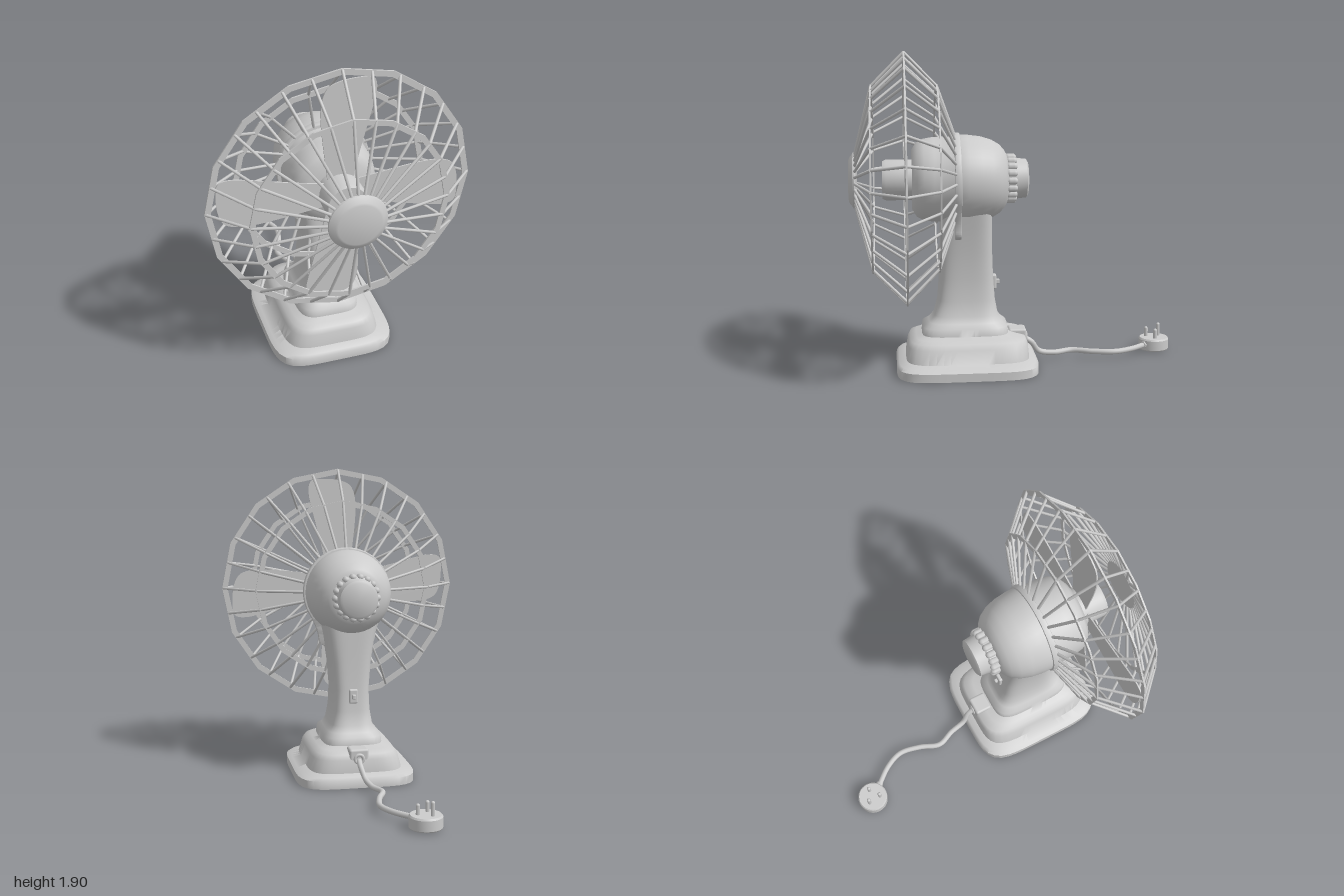
import * as THREE from 'three';
import { toCreasedNormals } from 'three/addons/utils/BufferGeometryUtils.js';
import { RoundedBoxGeometry } from 'three/addons/geometries/RoundedBoxGeometry.js';

const V = (x, y, z) => new THREE.Vector3(x, y, z);
const AXIS_Y = 1.145; // height of the motor axis
const grey = new THREE.MeshStandardMaterial({ color: 0xcccccc });
const flat = new THREE.MeshStandardMaterial({ color: 0xcccccc, flatShading: true });

function add(parent, name, geometry, x = 0, y = 0, z = 0, material = grey) {
  const mesh = new THREE.Mesh(geometry, material);
  mesh.name = name;
  mesh.position.set(x, y, z);
  parent.add(mesh);
  return mesh;
}

// Turned part along the z axis; profile is [radius, z] from back to front
function turned(profile, segments = 40, crease = 0.6) {
  const g = new THREE.LatheGeometry(profile.map(([r, z]) => new THREE.Vector2(r, z)), segments);
  return toCreasedNormals(g.rotateX(Math.PI / 2), crease);
}

function rod(parent, name, a, b, radius) {
  const dir = b.clone().sub(a);
  const mesh = add(parent, name, new THREE.CylinderGeometry(radius, radius, dir.length(), 6));
  mesh.position.copy(a).add(b).multiplyScalar(0.5);
  mesh.quaternion.setFromUnitVectors(V(0, 1, 0), dir.normalize());
}

// Loft of superellipse sections: [y, half width, half depth, centre z, exponent]
function loft(rows, n = 64) {
  const pos = [], idx = [];
  for (const [y, hx, hz, cz, e] of rows) {
    for (let i = 0; i < n; i++) {
      const t = (i / n) * Math.PI * 2, c = Math.cos(t), s = Math.sin(t);
      const k = (Math.abs(c) ** e + Math.abs(s) ** e) ** (-1 / e);
      pos.push(hx * c * k, y, cz + hz * s * k);
    }
  }
  for (let j = 0; j < rows.length - 1; j++) {
    for (let i = 0; i < n; i++) {
      const a = j * n + i, b = j * n + (i + 1) % n;
      idx.push(a, a + n, b, b, a + n, b + n);
    }
  }
  const centre = pos.length / 3;
  pos.push(0, rows[0][0], rows[0][3]);
  for (let i = 0; i < n; i++) idx.push(centre, i, (i + 1) % n);
  const g = new THREE.BufferGeometry();
  g.setAttribute('position', new THREE.Float32BufferAttribute(pos, 3));
  g.setIndex(idx);
  return toCreasedNormals(g, 1);
}

// Flat paddle blade pointing up, wider and squarer on its right side
function bladeGeometry() {
  const s = new THREE.Shape();
  s.moveTo(-0.07, 0.06);
  s.lineTo(0.07, 0.06);
  s.bezierCurveTo(0.1, 0.25, 0.15, 0.4, 0.19, 0.58);
  s.bezierCurveTo(0.2, 0.66, 0.19, 0.69, 0.14, 0.695);
  s.bezierCurveTo(0.04, 0.7, -0.06, 0.69, -0.09, 0.64);
  s.bezierCurveTo(-0.14, 0.55, -0.11, 0.4, -0.07, 0.06);
  return new THREE.ExtrudeGeometry(s, { depth: 0.008, bevelEnabled: false, curveSegments: 14 });
}

function buildStand(root) {
  add(root, 'baseAndNeck', loft([
    [0, 0.37, 0.425, 0.31, 5], [0.05, 0.37, 0.425, 0.31, 5], [0.065, 0.345, 0.41, 0.31, 5],
    [0.08, 0.295, 0.37, 0.308, 5], [0.16, 0.272, 0.36, 0.305, 5], [0.19, 0.25, 0.345, 0.305, 5],
    [0.205, 0.22, 0.3, 0.315, 5], [0.22, 0.188, 0.26, 0.32, 4.5], [0.265, 0.182, 0.255, 0.32, 4.5],
    [0.29, 0.155, 0.22, 0.317, 4], [0.33, 0.135, 0.192, 0.313, 4], [0.42, 0.12, 0.173, 0.31, 4],
    [0.55, 0.115, 0.163, 0.31, 4], [0.72, 0.13, 0.157, 0.31, 4], [0.88, 0.155, 0.155, 0.308, 4],
    [1.05, 0.19, 0.15, 0.305, 4],
  ]));
  const sw = new THREE.Group();
  sw.name = 'switch';
  root.add(sw);
  add(sw, 'switchPlate', new RoundedBoxGeometry(0.055, 0.09, 0.04, 2, 0.01), 0, 0.515, 0.145);
  add(sw, 'switchToggle', new RoundedBoxGeometry(0.022, 0.03, 0.04, 2, 0.006), 0, 0.515, 0.125);
}

function buildMotor(root) {
  const motor = new THREE.Group();
  motor.name = 'motor';
  motor.position.y = AXIS_Y;
  root.add(motor);
  add(motor, 'motorHousing', turned([
    [0, 0.06], [0.14, 0.06], [0.17, 0.075], [0.205, 0.105], [0.235, 0.155], [0.255, 0.22],
    [0.265, 0.3], [0.265, 0.36], [0.255, 0.38], [0.253, 0.5], [0.243, 0.56], [0.222, 0.6],
    [0.18, 0.628], [0, 0.63],
  ]));
  // Collar plate with a tongue reaching down around the neck
  const s = new THREE.Shape();
  s.absarc(0, 0, 0.272, -0.45, Math.PI + 0.45, false);
  s.bezierCurveTo(-0.2, -0.2, -0.18, -0.24, -0.175, -0.3);
  s.quadraticCurveTo(-0.17, -0.34, -0.13, -0.34);
  s.lineTo(0.13, -0.34);
  s.quadraticCurveTo(0.17, -0.34, 0.175, -0.3);
  s.bezierCurveTo(0.18, -0.24, 0.2, -0.2, 0.272 * Math.cos(0.45), -0.272 * Math.sin(0.45));
  add(motor, 'collar', toCreasedNormals(new THREE.ExtrudeGeometry(s, {
    depth: 0.025, bevelThickness: 0.007, bevelSize: 0.005, bevelSegments: 2, curveSegments: 40,
  }), 0.6), 0, 0, 0.35);
  // Rear knob with a ring of grips
  add(motor, 'rearKnob', turned([
    [0, -0.065], [0.1, -0.065], [0.116, -0.055], [0.123, 0.01], [0.132, 0.02], [0.135, 0.075],
  ]));
  const grips = new THREE.Group();
  grips.name = 'knobGrips';
  motor.add(grips);
  const grip = new THREE.CapsuleGeometry(0.021, 0.026, 4, 8).rotateX(Math.PI / 2);
  for (let i = 0; i < 18; i++) {
    const a = (i / 18) * Math.PI * 2;
    add(grips, 'knobGrip', grip, 0.129 * Math.cos(a), 0.129 * Math.sin(a), 0.038);
  }
  // Blades on their hub
  const fan = new THREE.Group();
  fan.name = 'fanBlades';
  motor.add(fan);
  add(fan, 'bladeHub', turned([[0.12, 0.6], [0.122, 0.78], [0.112, 0.803], [0, 0.803]]));
  const blade = bladeGeometry();
  for (let i = 0; i < 4; i++) {
    add(fan, 'blade', blade, 0, 0, 0.663).rotation.z = i * Math.PI / 2;
  }
}

function buildCage(root) {
  const cage = new THREE.Group();
  cage.name = 'cage';
  cage.position.y = AXIS_Y;
  root.add(cage);
  add(cage, 'cageCap', turned([
    [0, 0.955], [0.155, 0.955], [0.168, 0.964], [0.165, 0.973], [0.135, 0.995], [0.122, 1], [0, 1],
  ], 40, 0.5));
  // Sixteen-sided hoops: [outer radius, band width, z]
  for (const [r, w, z] of [[0.565, 0.032, 0.475], [0.76, 0.035, 0.667], [0.565, 0.032, 0.862]]) {
    add(cage, 'cageHoop', turned([
      [r, -0.005], [r, 0.005], [r - w, 0.005], [r - w, -0.005], [r, -0.005],
    ], 16, 0.1), 0, 0, z, flat);
  }
  // Bent wires from the cap, around the hoops, back to the collar
  const path = [[0.14, 0.966], [0.555, 0.862], [0.752, 0.667], [0.555, 0.475], [0.255, 0.37]];
  const step = Math.PI / 8;
  for (let i = 0; i < 28; i++) {
    const a = (i / 28) * Math.PI * 2;
    const side = Math.cos(step / 2) / Math.cos((a % step) - step / 2);
    const pts = path.map(([r, z], k) => {
      const q = k > 0 && k < 4 ? r * side : r;
      return V(q * Math.cos(a), q * Math.sin(a), z);
    });
    for (let k = 0; k < 4; k++) rod(cage, 'cageWire', pts[k], pts[k + 1], 0.009);
  }
}

function buildCord(root) {
  const cord = new THREE.Group();
  cord.name = 'powerCord';
  root.add(cord);
  add(cord, 'cordSocket', new RoundedBoxGeometry(0.12, 0.13, 0.11, 2, 0.015), 0, 0.16, 0.0);
  add(cord, 'cordBush', new THREE.TorusGeometry(0.026, 0.01, 8, 20), 0, 0.165, -0.055);
  const curve = new THREE.CatmullRomCurve3([
    V(0, 0.165, -0.03), V(0, 0.13, -0.09), V(-0.02, 0.065, -0.14), V(-0.04, 0.045, -0.24),
    V(-0.08, 0.045, -0.35), V(-0.035, 0.045, -0.475), V(-0.012, 0.045, -0.61),
    V(-0.055, 0.045, -0.72), V(-0.16, 0.045, -0.85),
  ]);
  add(cord, 'cable', new THREE.TubeGeometry(curve, 60, 0.017, 10));
  rod(cord, 'cableGrip', V(-0.132, 0.045, -0.82), V(-0.16, 0.045, -0.85), 0.023);
  const plug = new THREE.LatheGeometry([[0, 0.005], [0.09, 0.005], [0.095, 0.012], [0.095, 0.072],
    [0.088, 0.082], [0, 0.082]].map(([r, y]) => new THREE.Vector2(r, y)), 32);
  add(cord, 'plug', toCreasedNormals(plug, 0.6), -0.2, 0, -0.905);
  for (const [x, z, top] of [[-0.23, -0.94, 0.165], [-0.155, -0.905, 0.145], [-0.22, -0.86, 0.145]]) {
    const h = top - 0.07;
    add(cord, 'plugPin', new THREE.CapsuleGeometry(0.012, h - 0.024, 4, 10), x, 0.07 + h / 2, z);
  }
}

export function createModel() {
  const root = new THREE.Group();
  root.name = 'deskFan';
  buildStand(root);
  buildMotor(root);
  buildCage(root);
  buildCord(root);
  return root;
}
